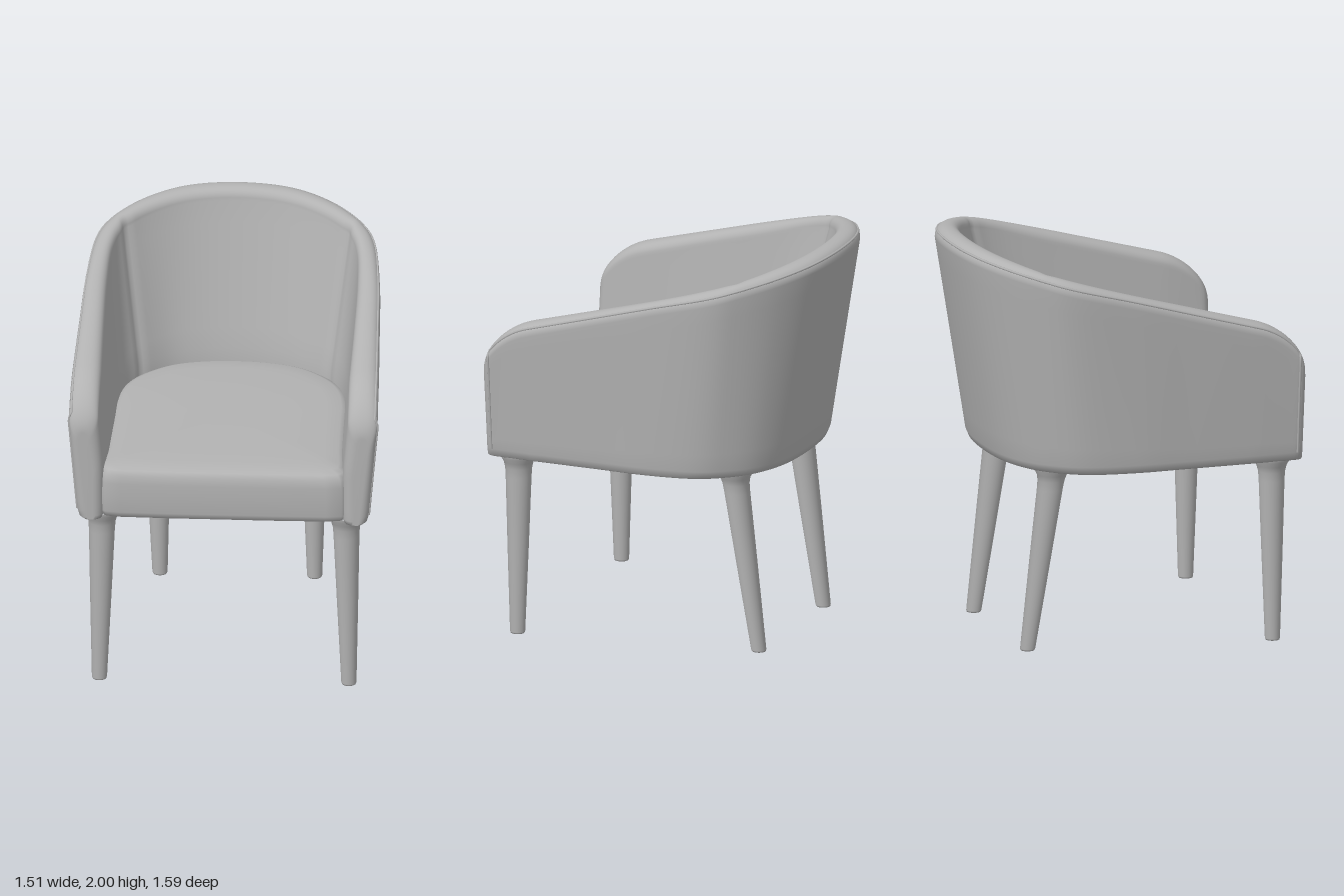
import * as THREE from 'three';

const BOTTOM = 0.91, SEAT_Y = 1.18, FRONT = 0.79, STRAIGHT = 0.55;
const lerp = THREE.MathUtils.lerp;

// Half plan outlines [x, z], from the centre of the back to the front of the arm
const PLAN = {
  outerTop: [[0, -.795], [.25, -.765], [.45, -.67], [.6, -.53], [.68, -.38], [.715, -.1], [.73, .2], [.745, .55]],
  outerBottom: [[0, -.62], [.24, -.6], [.42, -.53], [.54, -.42], [.62, -.28], [.665, -.05], [.68, .2], [.7, .55]],
  innerTop: [[0, -.67], [.22, -.645], [.4, -.57], [.535, -.46], [.59, -.32], [.605, -.1], [.605, .2], [.6, .55]],
  innerBottom: [[0, -.475], [.17, -.46], [.32, -.41], [.45, -.3], [.52, -.18], [.55, -.02], [.555, .2], [.565, .55]],
};
const FRONT_X = { outerTop: .75, outerBottom: .705, innerTop: .605, innerBottom: .585 };

// Mirrored smooth curve through a half outline
function planCurve(half) {
  const right = half.map(([x, z]) => new THREE.Vector3(x, 0, z));
  const left = half.slice(1).reverse().map(([x, z]) => new THREE.Vector3(-x, 0, z));
  return new THREE.CatmullRomCurve3([...left, ...right], false, 'catmullrom', 0.5);
}

// Four plan points per station, running left front -> back -> right front
function makeStations() {
  const curves = Object.fromEntries(Object.entries(PLAN).map(([k, v]) => [k, planCurve(v)]));
  const body = [], steps = 14 * 8;
  for (let i = 0; i <= steps; i++) {
    const st = { knot: Math.abs(i / 8 - 7) };
    for (const k in curves) st[k] = curves[k].getPoint(i / steps);
    body.push(st);
  }
  const arm = (sign) => Array.from({ length: 14 }, (_, i) => {
    const u = Math.sin((i + 1) / 14 * Math.PI / 2), st = { knot: 7 };
    for (const k in PLAN) {
      st[k] = new THREE.Vector3(sign * lerp(PLAN[k][7][0], FRONT_X[k], u), 0, lerp(STRAIGHT, FRONT, u));
    }
    return st;
  });
  return [...arm(-1).reverse(), ...body, ...arm(1)];
}

// Sloping top rim that rounds down at the arm fronts
function rimHeight(z) {
  const u = THREE.MathUtils.clamp((z - STRAIGHT) / (FRONT - STRAIGHT), 0, 1);
  return 1.785 - 0.29 * z - 0.18 * (1 - Math.sqrt(1 - u * u));
}

const WALL = 10, RIM = 16;

// Closed wall section: outer face up, over the rounded rim, inner face down
function section(st) {
  const H = rimHeight((st.outerTop.z + st.innerTop.z) / 2), r = 0.06;
  const e = THREE.MathUtils.clamp((st.outerTop.z - (FRONT - .045)) / .045, 0, 1);
  const inset = 0.045 * (1 - Math.sqrt(1 - e * e));
  const groove = 0.014 * Math.exp(-(((st.knot - 3) / 0.16) ** 2));
  const pts = [];
  const add = (w, y, dent = 0) => {
    const o = st.outerBottom.clone().lerp(st.outerTop, Math.min(1, (y - BOTTOM) / (H - r - BOTTOM)));
    const n = st.innerBottom.clone().lerp(st.innerTop,
      THREE.MathUtils.clamp((y - SEAT_Y) / (H - r - SEAT_Y), 0, 1));
    const pad = inset / o.distanceTo(n), d = dent / o.distanceTo(n);
    const p = o.lerp(n, lerp(pad, 1 - pad, w) - d);
    p.y = y;
    pts.push(p);
  };
  add(0.2, BOTTOM);
  add(0.06, BOTTOM + 0.01);
  for (let i = 0; i <= WALL; i++) add(0, lerp(BOTTOM + 0.045, H - r, i / WALL));
  for (let i = 1; i < RIM; i++) {
    const w = (1 - Math.cos(i / RIM * Math.PI)) / 2;
    const k = (1 - Math.abs(2 * w - 1) ** 2.3) ** (1 / 2.3);
    add(w, H - r + r * k, groove * w);
  }
  for (let i = 0; i <= WALL; i++) add(1, lerp(H - r, BOTTOM + 0.02, i / WALL), groove);
  add(0.95, BOTTOM);
  return pts;
}

// Joins closed rings into a smooth skin, capping both ends
function loft(rings) {
  const n = rings[0].length, pos = [], index = [];
  rings.forEach((ring) => ring.forEach((p) => pos.push(p.x, p.y, p.z)));
  for (let s = 0; s < rings.length - 1; s++) {
    for (let j = 0; j < n; j++) {
      const a = s * n + j, b = s * n + (j + 1) % n;
      index.push(a, b, a + n, b, b + n, a + n);
    }
  }
  [0, rings.length - 1].forEach((s) => {
    const c = rings[s].reduce((m, p) => m.add(p), new THREE.Vector3()).divideScalar(n);
    const centre = pos.length / 3;
    pos.push(c.x, c.y, c.z);
    for (let j = 0; j < n; j++) {
      const a = s * n + j, b = s * n + (j + 1) % n;
      if (s === 0) index.push(centre, b, a);
      else index.push(centre, a, b);
    }
  });
  const g = new THREE.BufferGeometry();
  g.setAttribute('position', new THREE.Float32BufferAttribute(pos, 3));
  g.setIndex(index);
  g.computeVertexNormals();
  return g;
}

// Cushion filling the inside of the shell, softly crowned on top
function seatGeometry() {
  const half = PLAN.innerBottom.map(([x, z]) => [x * 1.05, z < 0 ? z * 1.07 : z]);
  const back = planCurve(half).getPoints(80);
  const front = [[.605, .7], [.6, .745], [.575, .775], [.5, .786], [.25, .79]];
  const outline = [
    ...back,
    ...front.map(([x, z]) => new THREE.Vector3(x, 0, z)),
    new THREE.Vector3(0, 0, .79),
    ...front.slice().reverse().map(([x, z]) => new THREE.Vector3(-x, 0, z)),
  ];
  const profile = [[.3, .914], [.95, .914], [.985, .922], [.998, .95], [1, 1.03], [.998, 1.1],
    [.988, 1.14], [.965, 1.163], [.92, 1.177], [.8, 1.185], [.5, 1.192], [.15, 1.194]];
  return loft(profile.map(([k, y]) =>
    outline.map((p) => new THREE.Vector3(p.x * k, y, lerp(0.15, p.z, k))).reverse()));
}

// Tapered round leg with a flared top, leaning from foot to top
function legGeometry(top, foot) {
  const profile = [[0, 0], [.034, 0], [.037, .008], [.052, .45], [.063, .8], [.066, .845],
    [.074, .875], [.088, .9], [.09, .918]].map(([r, y]) => new THREE.Vector2(r, y));
  const g = new THREE.LatheGeometry(profile, 28), p = g.attributes.position;
  for (let i = 0; i < p.count; i++) {
    const t = Math.min(1, p.getY(i) / 0.88);
    p.setX(i, p.getX(i) + lerp(foot[0], top[0], t));
    p.setZ(i, p.getZ(i) + lerp(foot[1], top[1], t));
  }
  return g;
}

export function createModel() {
  const group = new THREE.Group();
  const grey = new THREE.MeshStandardMaterial({ color: 0xb2b2b2 });
  grey.name = 'plain grey';
  const add = (name, geometry) => {
    const mesh = new THREE.Mesh(geometry, grey);
    mesh.name = name;
    group.add(mesh);
    return mesh;
  };

  // Wrap-around back and arms
  const rings = makeStations().map(section);
  add('backAndArms', loft(rings));

  // Thin seam piping round the outer edge and down the arm fronts
  const kept = rings.filter((ring) => ring[6].z < 0.757);
  const seamIndex = 2 + WALL + 3;
  const ends = [kept[0], kept[kept.length - 1]].map((ring) => ring.slice(2, seamIndex));
  const path = [...ends[0], ...kept.map((ring) => ring[seamIndex]), ...ends[1].reverse()];
  add('seamPiping', new THREE.TubeGeometry(new THREE.CatmullRomCurve3(path), 300, 0.006, 6));

  // Seat
  add('seat', seatGeometry());

  // Legs
  for (const [side, s] of [['left', 1], ['right', -1]]) {
    add(side + 'FrontLeg', legGeometry([s * .592, .66], [s * .605, .66]));
    add(side + 'BackLeg', legGeometry([s * .38, -.395], [s * .375, -.52]));
  }
  return group;
}
